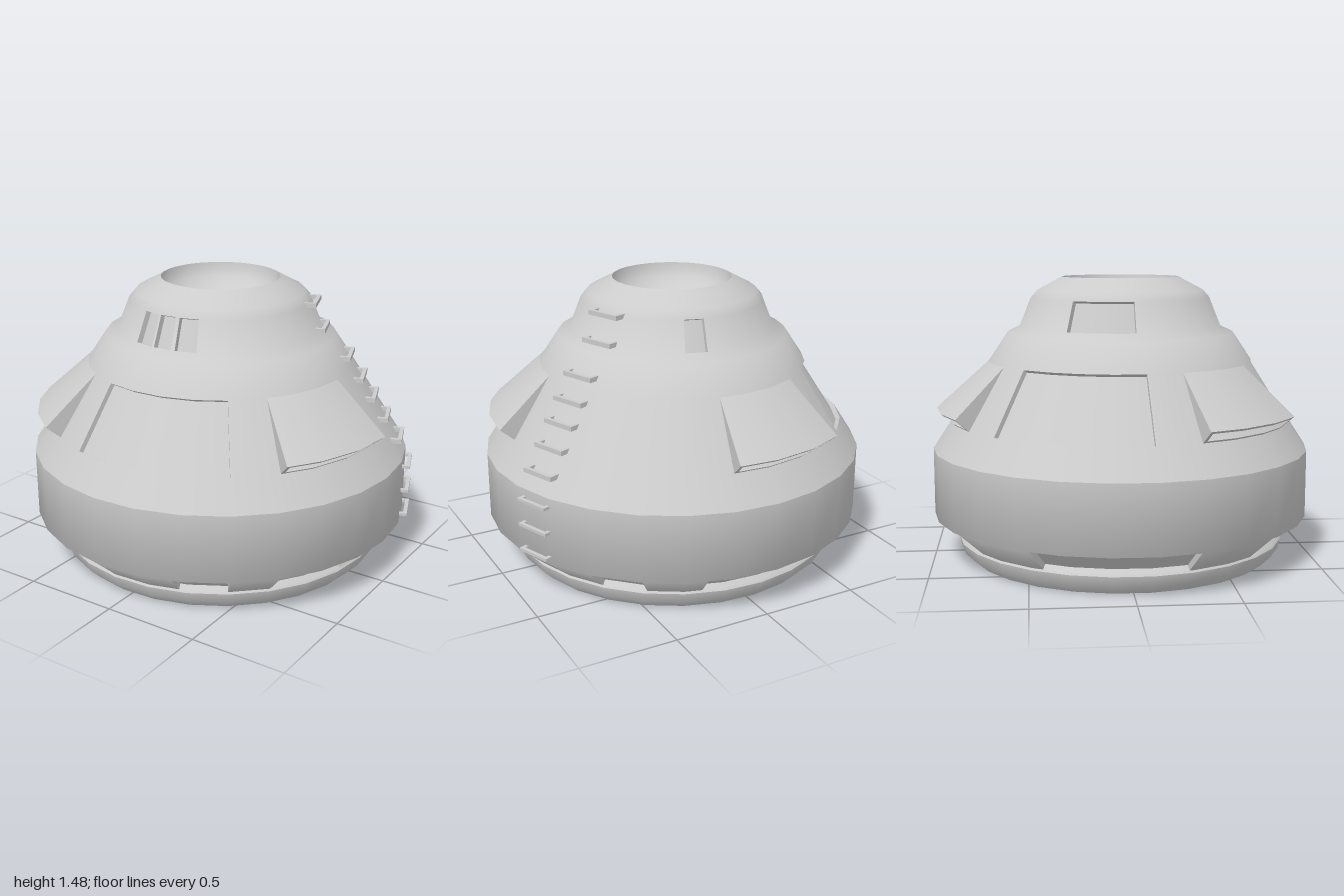
import * as THREE from 'three';

const RAD = Math.PI / 180, SIDES = 27, STEP = 360 / SIDES, PHASE = -3.9;

// Point on the many-sided hull at angle a (degrees from the front towards +x)
function point(a, [r, y]) {
  const half = STEP / 2;
  const off = ((((a - PHASE) % STEP) + STEP) % STEP) - half;
  const k = r * Math.cos(half * RAD) / Math.cos(off * RAD);
  return [k * Math.sin(a * RAD), y, k * Math.cos(a * RAD)];
}

// Outward normal of a profile segment, as [radial, vertical]
function segNormal(lo, hi) {
  const dr = hi[0] - lo[0], dy = hi[1] - lo[1], l = Math.hypot(dr, dy) || 1;
  return [dy / l, -dr / l];
}
const mix = (a, b, t) => [a[0] + (b[0] - a[0]) * t, a[1] + (b[1] - a[1]) * t];
const move = (p, n, d) => [p[0] + n[0] * d, p[1] + n[1] * d];

// Collects quads with their normals into one mesh
class Surface {
  constructor() { this.pos = []; this.nor = []; }
  quad(p, n) {
    for (const i of [0, 1, 2, 0, 2, 3]) {
      this.pos.push(...p[i]);
      this.nor.push(...n[i]);
    }
  }
  flat(a, b, c, d) {
    const [A, B, C, D] = [a, b, c, d].map(v => new THREE.Vector3(...v));
    const n = C.sub(A).cross(D.sub(B)).normalize().toArray();
    this.quad([a, b, c, d], [n, n, n, n]);
  }
  // Strip round the hull between two profile points
  strip(a0, a1, lo, hi, nLo = segNormal(lo, hi), nHi = nLo) {
    const angles = [a0];
    for (let k = Math.ceil((a0 - PHASE) / STEP - 1e-6); PHASE + k * STEP < a1 - 1e-4; k++)
      if (PHASE + k * STEP > a0 + 1e-4) angles.push(PHASE + k * STEP);
    angles.push(a1);
    const nrm = (a, n) => new THREE.Vector3(n[0] * Math.sin(a * RAD), n[1], n[0] * Math.cos(a * RAD)).normalize().toArray();
    for (let i = 0; i + 1 < angles.length; i++) {
      const a = angles[i], b = angles[i + 1];
      this.quad([point(a, lo), point(b, lo), point(b, hi), point(a, hi)],
        [nrm(a, nLo), nrm(b, nLo), nrm(b, nHi), nrm(a, nHi)]);
    }
  }
  // Flat cheek lying in the radial plane at angle a
  cheek(a, p, q, r, s) { this.flat(...[p, q, r, s].map(v => point(a, v))); }
  mesh(name, material) {
    const g = new THREE.BufferGeometry();
    g.setAttribute('position', new THREE.Float32BufferAttribute(this.pos, 3));
    g.setAttribute('normal', new THREE.Float32BufferAttribute(this.nor, 3));
    const m = new THREE.Mesh(g, material);
    m.name = name;
    return m;
  }
}

// Sunken panel filling a hole between two profile points
function recess(name, lo, hi, a0, a1, depth, material) {
  const s = new Surface(), n = segNormal(lo, hi);
  const inLo = move(lo, n, -depth), inHi = move(hi, n, -depth);
  const t = depth * 0.1 / lo[0] / RAD;
  s.strip(a0, a1, inLo, inHi);
  s.strip(a0, a1, lo, inLo);
  s.strip(a0, a1, inHi, hi);
  s.cheek(a0, lo, inLo, inHi, hi);
  s.cheek(a1, lo, hi, inHi, inLo);
  return s.mesh(name, material);
}

// Wedge-shaped hood with a framed opening that faces down and out
function scoop(lo, hi, a0, a1, material) {
  const s = new Surface(), lip = [0.975, 0.795];
  s.strip(a0, a1, lip, hi);
  s.cheek(a0, lo, lip, hi, hi);
  s.cheek(a1, lo, hi, hi, lip);
  const b0 = a0 + 1.1, b1 = a1 - 1.1;
  const low = mix(lo, lip, 0.15), high = mix(lo, lip, 0.82);
  const dir = segNormal(lo, lip);
  s.strip(a0, a1, lo, low);
  s.strip(a0, a1, high, lip);
  s.strip(a0, b0, low, high);
  s.strip(b1, a1, low, high);
  // opening walls and back
  const deepLow = mix(low, hi, 0.25), deepHigh = mix(high, hi, 0.25);
  s.strip(b0, b1, low, deepLow, [-dir[1], dir[0]]);
  s.strip(b0, b1, deepHigh, high, [dir[1], -dir[0]]);
  s.strip(b0, b1, deepLow, deepHigh, dir);
  s.cheek(b0, low, deepLow, deepHigh, high);
  s.cheek(b1, low, high, deepHigh, deepLow);
  return s.mesh('scoop', material);
}

export function createModel() {
  const root = new THREE.Group();
  const craft = new THREE.Group();
  craft.name = 'capsule';
  root.add(craft);
  const material = new THREE.MeshStandardMaterial({ color: 0xcccccc, side: THREE.DoubleSide });

  // Hull profile [radius, height, sharp edge], from the open base up to the rim
  const rings = [
    [0.81, 0], [0.86, 0.05], [0.872, 0.1, 1], [0.865, 0.11, 1], [0.998, 0.23], [0.998, 0.58, 1],
    [0.9, 0.73], [0.7, 1.04], [0.6, 1.19], [0.535, 1.22], [0.475, 1.37], [0.44, 1.41],
    [0.345, 1.46], [0.31, 1.48, 1],
  ];
  // Dish in the top
  for (let i = 1; i <= 8; i++) {
    const t = i / 8 * Math.PI / 2;
    rings.push([0.31 * Math.cos(t), 1.48 - 0.18 * Math.sin(t)]);
  }

  // Openings by band: [name, start angle, end angle, depth]
  const openings = {
    3: [[-46, -4.5], [20, 36], [50, 78], [129, 144], [162, 212], [240, 288]]
      .map(([a, b]) => ['lowerPort', a, b, 0.03]),
    6: [
      ['sidePanel', -17, 36.5, 0.025], ['sidePanel', 223, 276, 0.025],
      ['scoop', 52, 90], ['scoop', 171, 209], ['scoop', 291, 329],
    ],
    9: [
      ['frontWindow', -17, -5.5, 0.03], ['frontWindow', -4, 6.5, 0.03], ['frontWindow', 9, 21, 0.03],
      ['rearWindow', 159, 171, 0.03], ['sideWindow', 236, 274, 0.03],
    ],
  };

  // Hull, leaving out the openings
  const hull = new Surface();
  const normals = rings.slice(1).map((r, i) => segNormal(rings[i], r));
  const ringNormal = (i, band) => {
    const below = normals[i - 1], above = normals[i];
    return rings[i][2] || !below || !above ? normals[band] : mix(below, above, 0.5);
  };
  for (let i = 0; i + 1 < rings.length; i++) {
    const lo = rings[i], hi = rings[i + 1];
    const cuts = (openings[i] || []).slice().sort((p, q) => p[1] - q[1]);
    let a = cuts.length ? cuts[0][1] : PHASE;
    const end = a + 360;
    for (const [name, a0, a1, depth] of cuts) {
      if (a0 > a) hull.strip(a, a0, lo, hi, ringNormal(i, i), ringNormal(i + 1, i));
      a = a1;
      craft.add(name === 'scoop' ? scoop(lo, hi, a0, a1, material)
        : recess(name, lo, hi, a0, a1, depth, material));
    }
    hull.strip(a, end, lo, hi, ringNormal(i, i), ringNormal(i + 1, i));
  }
  craft.add(hull.mesh('hull', material));

  // Ladder of staple-shaped rungs: [height, wall radius, thickness]
  const ladder = new THREE.Group();
  ladder.name = 'ladder';
  ladder.rotation.y = 110.6 * RAD;
  const rungs = [
    [1.37, 0.47, 0.024], [1.24, 0.52, 0.024], [1.1, 0.655, 0.024], [0.99, 0.725, 0.024], [0.89, 0.79, 0.024],
    [0.785, 0.86, 0.024], [0.675, 0.935, 0.024], [0.535, 0.985, 0.015], [0.4, 0.985, 0.015], [0.265, 0.985, 0.015],
  ];
  for (const [y, r, t] of rungs) {
    const rung = new THREE.Group();
    rung.name = 'rung';
    const box = (w, d, x, z) => {
      const m = new THREE.Mesh(new THREE.BoxGeometry(w, t, d), material);
      m.position.set(x, 0, z);
      rung.add(m);
    };
    box(0.19, 0.02, 0, 0.035);
    for (const s of [-1, 1]) box(0.02, 0.05, s * 0.085, 0.005);
    rung.position.set(0, y, r);
    ladder.add(rung);
  }
  craft.add(ladder);

  craft.position.x = -0.005;
  return root;
}
